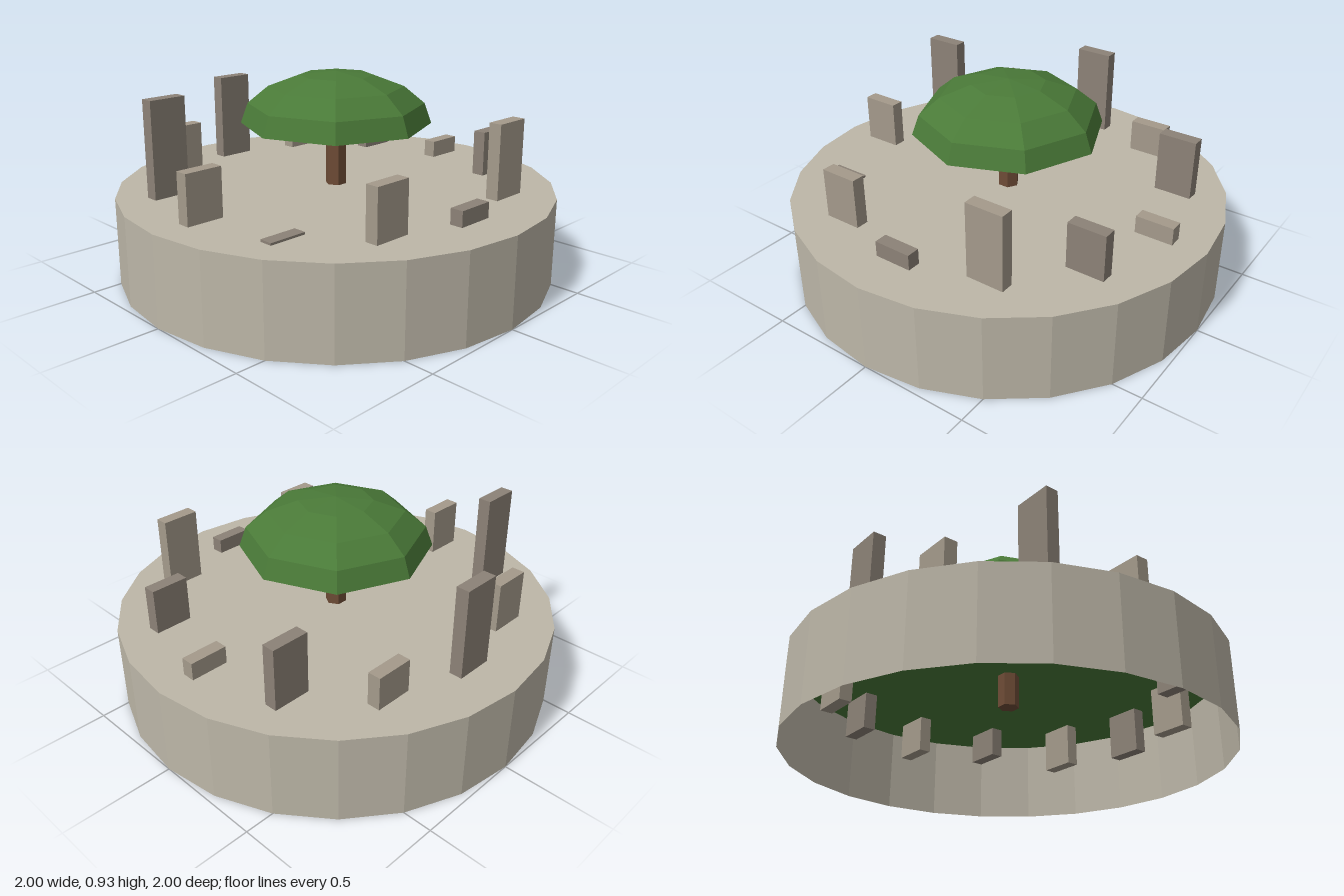
import * as THREE from 'three';

export function createModel() {
  const model = new THREE.Group();
  const mat = (color) => new THREE.MeshStandardMaterial({ color, flatShading: true, side: THREE.DoubleSide });
  const stone = mat(0xbdb7a8), slabLight = mat(0xa49a8b), slabDark = mat(0x8c8277);
  const green = mat(0x4a7a38), bark = mat(0x6e4c36);
  const add = (name, geometry, material, x = 0, y = 0, z = 0) => {
    const mesh = new THREE.Mesh(geometry, material);
    mesh.name = name;
    mesh.position.set(x, y, z);
    model.add(mesh);
    return mesh;
  };

  // Hollow drum, open underneath, with a paved top
  const deckY = 0.4;
  add('drumWall', new THREE.CylinderGeometry(1, 1, deckY, 24, 1, true), stone, 0, deckY / 2, 0);
  const disc = () => new THREE.CircleGeometry(1, 24).rotateX(-Math.PI / 2);
  add('drumTop', disc(), stone, 0, deckY, 0);
  add('grassUnderside', disc(), green, 0, deckY - 0.004, 0);

  // Ring of standing slabs sunk through the deck: [bottom, top] every 30 degrees
  const slabs = [
    [0.22, 0.48], [0.25, 0.61], [0.19, 0.74], [0.18, 0.47], [0.17, 0.63], [0.21, 0.41],
    [0.24, 0.62], [0.29, 0.84], [0.22, 0.63], [0.25, 0.81], [0.2, 0.55], [0.22, 0.68],
  ];
  slabs.forEach(([bottom, top], i) => {
    const a = (i * Math.PI) / 6;
    add('standingSlab' + (i + 1), new THREE.BoxGeometry(0.175, top - bottom, 0.06),
      i % 2 ? slabDark : slabLight, 0.768 * Math.cos(a), (top + bottom) / 2, 0.768 * Math.sin(a));
  });

  // Tree: hexagonal trunk and a flattened dome canopy
  add('trunk', new THREE.CylinderGeometry(0.048, 0.048, 0.46, 6).rotateY(Math.PI / 2), bark, 0, 0.47, 0);
  const canopy = new THREE.SphereGeometry(0.435, 8, 4, 0, Math.PI * 2, 0, Math.PI / 2);
  add('canopy', canopy.scale(1, 0.24 / 0.435, 1), green, 0, 0.685, 0);

  return model;
}
